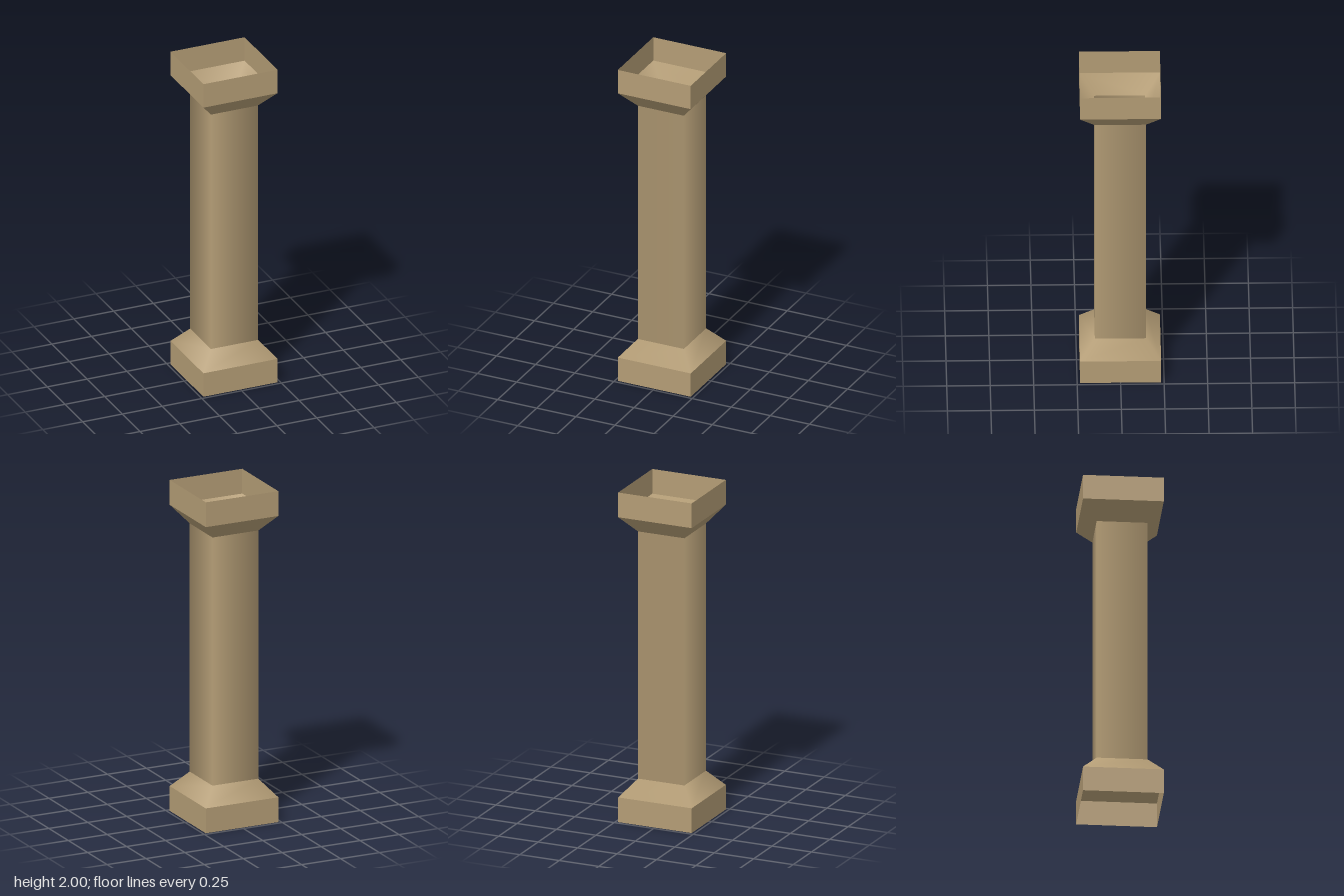
import * as THREE from 'three';

const WIDE = 0.233; // half width of the plinth and capital blocks
const SHAFT = 0.147; // half width of the shaft

// Open, four-sided sleeve between two heights, aligned with the axes
function sleeve(name, y0, y1, half0, half1, material, sharp = false) {
  const h = y1 - y0;
  let geometry = new THREE.CylinderGeometry(half1 * Math.SQRT2, half0 * Math.SQRT2, h, 4, 1, true);
  geometry.rotateY(Math.PI / 4);
  geometry.translate(0, y0 + h / 2, 0);
  if (sharp) {
    geometry = geometry.toNonIndexed();
    geometry.computeVertexNormals();
  }
  const mesh = new THREE.Mesh(geometry, material);
  mesh.name = name;
  return mesh;
}

export function createModel() {
  const group = new THREE.Group();
  group.name = 'column';
  const stone = new THREE.MeshStandardMaterial({ color: 0xb39c75, side: THREE.DoubleSide });
  stone.name = 'tan stone';

  group.add(
    // Base
    sleeve('basePlinth', 0, 0.15, WIDE, WIDE, stone, true),
    sleeve('baseFlare', 0.15, 0.25, WIDE, SHAFT, stone),
    // Hollow shaft with softly shaded corners
    sleeve('shaft', 0.25, 1.75, SHAFT, SHAFT, stone),
    // Capital
    sleeve('capitalFlare', 1.75, 1.85, SHAFT, WIDE, stone),
    sleeve('capitalBlock', 1.85, 2, WIDE, WIDE, stone, true),
  );
  return group;
}
